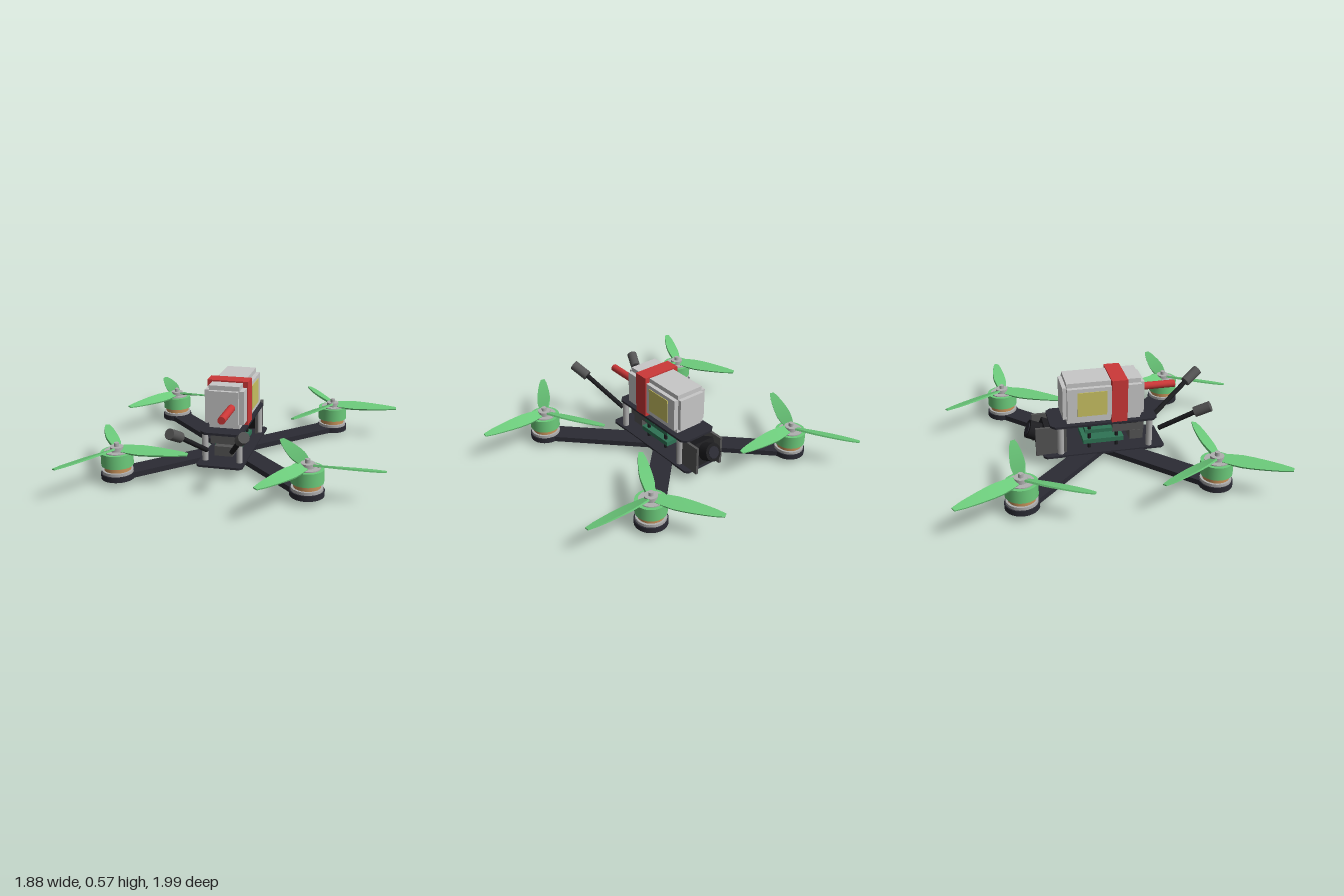
import * as THREE from 'three';

const mat = (name, color) => {
  const m = new THREE.MeshStandardMaterial({ color });
  m.name = name;
  return m;
};

export function createModel() {
  const carbon = mat('carbon', 0x2b2b34), black = mat('black', 0x1d1d20), dark = mat('dark grey', 0x555555);
  const metal = mat('metal', 0xb0b0b0), green = mat('green', 0x6ccb7b), copper = mat('copper', 0xc8935a);
  const pcb = mat('circuit green', 0x2f7355), shell = mat('battery grey', 0xc8c8c8);
  const red = mat('red', 0xcc3838), yellow = mat('label yellow', 0xc9c263);

  const root = new THREE.Group();
  root.name = 'quadcopter';
  const craft = new THREE.Group();
  craft.name = 'craft';
  craft.position.x = -0.108;
  root.add(craft);

  const add = (parent, name, geo, material, x = 0, y = 0, z = 0) => {
    const m = new THREE.Mesh(geo, material);
    m.name = name;
    m.position.set(x, y, z);
    parent.add(m);
    return m;
  };
  // box given by its centre and size
  const box = (name, material, w, h, d, x, y, z, parent = craft) =>
    add(parent, name, new THREE.BoxGeometry(w, h, d), material, x, y, z);
  // upright cylinder from y0 to y1
  const post = (name, material, r, y0, y1, x, z, parent = craft, sides = 24) =>
    add(parent, name, new THREE.CylinderGeometry(r, r, y1 - y0, sides), material, x, (y0 + y1) / 2, z);
  // cylinder between two points
  const rod = (name, material, r, a, b) => {
    const dir = b.clone().sub(a);
    const m = add(craft, name, new THREE.CylinderGeometry(r, r, dir.length(), 16), material);
    m.position.copy(a).addScaledVector(dir, 0.5);
    m.quaternion.setFromUnitVectors(new THREE.Vector3(0, 1, 0), dir.normalize());
  };
  // flat plate with clipped corners
  const plate = (name, w, d, y0, h, c) => {
    const s = new THREE.Shape(), x = w / 2, z = d / 2;
    [[x - c, z], [-x + c, z], [-x, z - c], [-x, -z + c], [-x + c, -z], [x - c, -z], [x, -z + c], [x, z - c]]
      .forEach((p, i) => (i ? s.lineTo(...p) : s.moveTo(...p)));
    const g = new THREE.ExtrudeGeometry(s, { depth: h, bevelEnabled: false });
    g.rotateX(-Math.PI / 2);
    add(craft, name, g, carbon, 0, y0, 0);
  };

  // Frame
  const R = 0.594;
  for (const a of [1, -1]) {
    box('arms', carbon, 2 * R * Math.SQRT2, 0.035, 0.14, 0, 0.0525, 0).rotation.y = a * Math.PI / 4;
  }
  plate('bottomPlate', 0.3, 0.8, 0.064, 0.014, 0.02);
  plate('topPlate', 0.27, 0.7, 0.265, 0.015, 0.03);
  post('centreBoltHead', black, 0.05, 0, 0.04, 0, 0);
  post('centreBolt', black, 0.022, 0.03, 0.1, 0, 0);
  for (const x of [-0.113, 0.113]) for (const z of [-0.285, 0.3]) {
    post('standoff', metal, 0.021, 0.07, 0.266, x, z, craft, 12);
  }

  // Twisted, tapering propeller blade along +x
  const widths = [0.062, 0.08, 0.092, 0.09, 0.082, 0.07, 0.055, 0.028];
  const bladeGeometry = spin => {
    const n = widths.length - 1, g = new THREE.BoxGeometry(1, 1, 1, n, 1, 1), p = g.attributes.position;
    for (let i = 0; i < p.count; i++) {
      const t = p.getX(i) + 0.5, w = widths[Math.round(t * n)];
      const pitch = spin * (0.42 - 0.25 * t), z = p.getZ(i) * w, y = p.getY(i) * (0.013 - 0.006 * t);
      p.setXYZ(i, 0.035 + t * 0.42, y * Math.cos(pitch) + z * Math.sin(pitch),
        z * Math.cos(pitch) - y * Math.sin(pitch));
    }
    g.computeVertexNormals();
    return g;
  };

  // Motors and propellers, neighbouring ones spinning opposite ways
  for (const sx of [-1, 1]) for (const sz of [-1, 1]) {
    const unit = new THREE.Group();
    unit.name = 'motor';
    unit.position.set(sx * R, 0, sz * R);
    craft.add(unit);
    post('armEnd', carbon, 0.105, 0.035, 0.07, 0, 0, unit, 28);
    post('motorBase', metal, 0.097, 0.07, 0.089, 0, 0, unit);
    post('winding', copper, 0.083, 0.089, 0.122, 0, 0, unit);
    post('bell', green, 0.1, 0.12, 0.205, 0, 0, unit, 28);
    post('bellCap', metal, 0.078, 0.2, 0.211, 0, 0, unit);
    post('hub', metal, 0.042, 0.205, 0.238, 0, 0, unit);
    post('shaft', metal, 0.016, 0.23, 0.262, 0, 0, unit, 12);
    const geo = bladeGeometry(sx * sz);
    for (let k = 0; k < 3; k++) {
      add(unit, 'blade', geo, green, 0, 0.222, 0).rotation.y = k * Math.PI * 2 / 3;
    }
  }

  // Electronics stack
  box('lowerBoard', pcb, 0.19, 0.03, 0.27, 0, 0.132, 0);
  box('upperBoard', pcb, 0.17, 0.025, 0.24, 0, 0.2, 0);
  box('receiver', dark, 0.17, 0.062, 0.21, 0, 0.212, 0.165);
  box('receiverMount', black, 0.18, 0.03, 0.13, 0, 0.252, 0.165);
  box('rearModule', dark, 0.12, 0.065, 0.09, 0, 0.132, 0.228);
  for (const x of [-0.07, 0.07]) for (const z of [-0.09, 0.09]) {
    post('stackScrew', black, 0.012, 0.07, 0.235, x, z, craft, 8);
  }

  // Camera between two side plates, tilted upward
  for (const x of [-0.1, 0.1]) box('cameraPlate', dark, 0.018, 0.195, 0.2, x, 0.17, -0.345);
  const camera = new THREE.Group();
  camera.name = 'camera';
  camera.position.set(0, 0.165, -0.36);
  camera.rotation.x = 0.42;
  craft.add(camera);
  box('cameraBody', black, 0.17, 0.14, 0.11, 0, 0, 0, camera);
  add(camera, 'lensBarrel', new THREE.CylinderGeometry(0.06, 0.06, 0.09, 24), black, 0, 0, -0.09).rotation.x = -Math.PI / 2;
  add(camera, 'lensGlass', new THREE.CylinderGeometry(0.04, 0.04, 0.006, 24), carbon, 0, 0, -0.137).rotation.x = -Math.PI / 2;

  // Battery with stepped edges
  const by = 0.42;
  box('batteryCore', shell, 0.19, 0.22, 0.53, 0, by, 0);
  box('batterySides', shell, 0.255, 0.22, 0.48, 0, by, 0);
  box('batteryTop', shell, 0.2, 0.28, 0.48, 0, by, 0);
  box('strap', red, 0.27, 0.293, 0.103, 0, 0.423, 0.097);
  for (const s of [-1, 1]) box('label', yellow, 0.006, 0.165, 0.19, s * 0.129, 0.422, -0.08);
  const v = (x, y, z) => new THREE.Vector3(x + 0.108, y, z);
  rod('powerLead', red, 0.025, v(-0.055, 0.425, 0.25), v(-0.055, 0.425, 0.51));

  // Antennas
  const antennas = [
    [v(-0.19, 0.175, 0.375), v(-0.295, 0.325, 0.58), v(-0.33, 0.375, 0.67)],
    [v(-0.025, 0.175, 0.375), v(0.092, 0.355, 0.635), v(0.138, 0.415, 0.735)],
  ];
  for (const [base, joint, tip] of antennas) {
    rod('antennaRod', black, 0.016, base, joint);
    rod('antennaTip', dark, 0.034, joint, tip);
  }
  return root;
}
